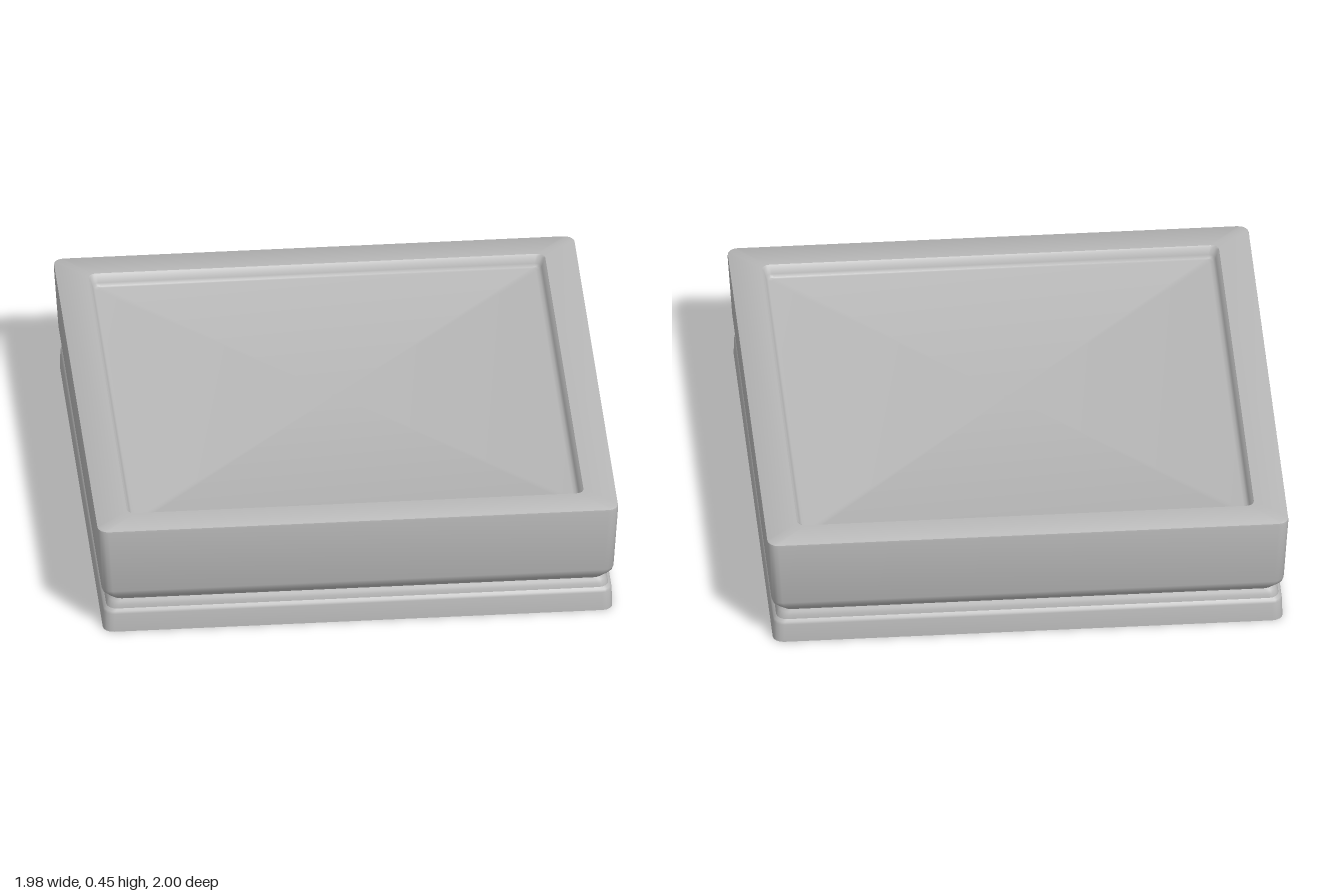
import * as THREE from 'three';
import { mergeVertices, toCreasedNormals } from 'three/addons/utils/BufferGeometryUtils.js';

const CORNER_STEPS = 4;

// Points of a rounded rectangle with half sizes hx, hz at height y
function ring([hx, hz, y, r]) {
  const points = [];
  for (let q = 0; q < 4; q++) {
    const sx = q === 0 || q === 3 ? 1 : -1;
    const sz = q < 2 ? 1 : -1;
    for (let i = 0; i <= CORNER_STEPS; i++) {
      const a = (q + i / CORNER_STEPS) * Math.PI / 2;
      points.push([sx * (hx - r) + r * Math.cos(a), y, sz * (hz - r) + r * Math.sin(a)]);
    }
  }
  return points;
}

// Skin through stacked rings, optionally closed by a flat cap on the last one
function skin(profile, capped = false) {
  const rings = profile.map(ring);
  const n = rings[0].length;
  const positions = rings.flat(2);
  const index = [];
  for (let k = 0; k < rings.length - 1; k++) {
    for (let i = 0; i < n; i++) {
      const j = (i + 1) % n;
      const a = k * n + i, b = k * n + j, c = a + n, d = b + n;
      index.push(a, c, b, b, c, d);
    }
  }
  if (capped) {
    const centre = rings.length * n;
    positions.push(0, profile[profile.length - 1][2], 0);
    for (let i = 0; i < n; i++) {
      index.push(centre - n + i, centre, centre - n + (i + 1) % n);
    }
  }
  const geometry = new THREE.BufferGeometry();
  geometry.setAttribute('position', new THREE.Float32BufferAttribute(positions, 3));
  geometry.setIndex(index);
  return toCreasedNormals(mergeVertices(geometry), 0.8);
}

export function createModel() {
  const model = new THREE.Group();
  model.name = 'squareTray';
  const grey = new THREE.MeshStandardMaterial({ color: 0xb8b8b8, side: THREE.DoubleSide });
  grey.name = 'plain grey';

  const add = (name, geometry) => {
    const mesh = new THREE.Mesh(geometry, grey);
    mesh.name = name;
    model.add(mesh);
  };

  // Each profile row: half width, half depth, height, corner radius
  // Open foot, hollow underneath
  add('foot', skin([
    [0.966, 0.99, 0, 0.04],
    [0.964, 0.986, 0.075, 0.04],
    [0.961, 0.983, 0.085, 0.04],
    [0.952, 0.975, 0.093, 0.04],
  ]));

  // Narrow moulding up to the waist groove
  add('waistMoulding', skin([
    [0.952, 0.975, 0.093, 0.04],
    [0.949, 0.973, 0.108, 0.04],
    [0.943, 0.968, 0.12, 0.04],
    [0.935, 0.963, 0.13, 0.04],
  ]));

  // Flared outer wall with a softened lip and flat rim
  add('trayWall', skin([
    [0.935, 0.963, 0.13, 0.04],
    [0.952, 0.976, 0.147, 0.04],
    [0.966, 0.987, 0.163, 0.04],
    [0.971, 0.991, 0.178, 0.04],
    [0.988, 1.0, 0.438, 0.04],
    [0.987, 0.999, 0.446, 0.04],
    [0.98, 0.992, 0.45, 0.035],
    [0.866, 0.874, 0.45, 0.03],
  ]));

  // Shallow recess and its floor
  add('recess', skin([
    [0.866, 0.874, 0.45, 0.03],
    [0.861, 0.869, 0.446, 0.028],
    [0.852, 0.862, 0.415, 0.025],
    [0.843, 0.857, 0.403, 0.022],
    [0.83, 0.85, 0.4, 0.02],
  ], true));

  return model;
}
